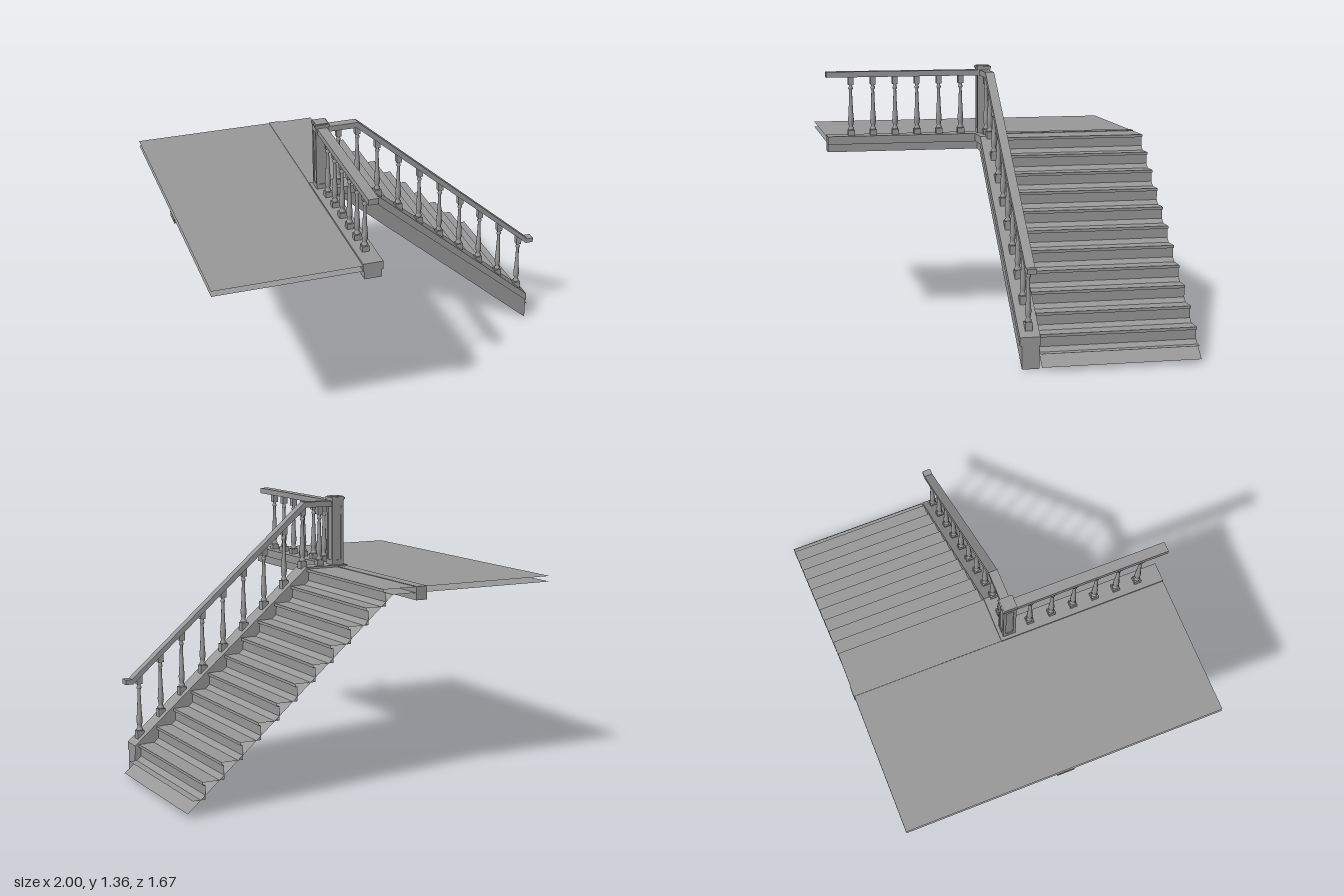
import * as THREE from 'three';

const color = 0x999999;
const mat = new THREE.MeshStandardMaterial({ color });
const sheetMat = new THREE.MeshStandardMaterial({ color, side: THREE.DoubleSide, flatShading: true });

function add(parent, name, geometry, material = mat) {
  const mesh = new THREE.Mesh(geometry, material);
  mesh.name = name;
  parent.add(mesh);
  return mesh;
}

// Box given by its two extreme corners
function box(parent, name, x0, x1, y0, y1, z0, z1) {
  const mesh = add(parent, name, new THREE.BoxGeometry(x1 - x0, y1 - y0, z1 - z0));
  mesh.position.set((x0 + x1) / 2, (y0 + y1) / 2, (z0 + z1) / 2);
  return mesh;
}

// Side outline in x and y, extruded from z0 to z1
function slab(parent, name, points, z0, z1) {
  const shape = new THREE.Shape(points.map(([x, y]) => new THREE.Vector2(x, y)));
  const geometry = new THREE.ExtrudeGeometry(shape, { depth: z1 - z0, bevelEnabled: false });
  add(parent, name, geometry.translate(0, 0, z0));
}

// Open folded sheet following a path in x and y, from z0 to z1
function sheet(parent, name, path, z0, z1) {
  const positions = [];
  for (let i = 0; i + 1 < path.length; i++) {
    const [a, b] = path[i], [c, d] = path[i + 1];
    positions.push(a, b, z0, a, b, z1, c, d, z1, a, b, z0, c, d, z1, c, d, z0);
  }
  const geometry = new THREE.BufferGeometry();
  geometry.setAttribute('position', new THREE.Float32BufferAttribute(positions, 3));
  geometry.computeVertexNormals();
  add(parent, name, geometry, sheetMat);
}

// Turned baluster, square at both ends; skirt sinks the foot and head into sloping parts
const turned = new THREE.LatheGeometry([
  [0.012, 0.025], [0.016, 0.032], [0.016, 0.038], [0.010, 0.044], [0.012, 0.055],
  [0.0155, 0.075], [0.0145, 0.095], [0.012, 0.125], [0.009, 0.19], [0.0075, 0.24],
  [0.012, 0.245], [0.012, 0.252], [0.008, 0.257], [0.010, 0.275],
].map(([r, y]) => new THREE.Vector2(r, y)), 12);

function baluster(parent, x, y, z, skirt) {
  const group = new THREE.Group();
  group.name = 'baluster';
  add(group, 'balusterShaft', turned);
  box(group, 'balusterFoot', -0.018, 0.018, -skirt, 0.028, -0.018, 0.018);
  box(group, 'balusterHead', -0.014, 0.014, 0.267, 0.307 + skirt * 0.6, -0.014, 0.014);
  group.position.set(x, y, z);
  parent.add(group);
}

export function createModel() {
  const model = new THREE.Group();
  model.name = 'staircaseWithLanding';
  const back = -0.832, front = 0.833, post = -0.222;

  // Landing floor and ceiling sheets
  sheet(model, 'landingFloor', [[-1, 0.985], [-0.22, 0.985]], -0.05, front);
  sheet(model, 'landingCeiling', [[-1, 0.957], [-0.22, 0.957]], -0.05, front);

  // Treads with nosings and risers, running on from the landing floor
  const steps = [[-1, 0.985]];
  for (let k = 0; k < 11; k++) {
    const x = -0.03 + 0.0952 * k, y = 0.985 - 0.0825 * k;
    steps.push([x, y], [x, y - 0.014], [x - 0.012, y - 0.014], [x - 0.012, y - 0.0825]);
  }
  steps.push([0.973, 0.078]);
  sheet(model, 'treadsAndRisers', steps, back, -0.045);

  // Sloping soffit below the flight, running on from the landing ceiling
  sheet(model, 'soffit', [[-1, 0.957], [-0.08, 0.957], [1, 0.02]], back, -0.045);

  // Beams under the landing
  box(model, 'landingBeam', -1, -0.26, 0.93, 0.955, -0.045, 0.045);
  box(model, 'trimmerBeam', -0.27, -0.21, 0.92, 0.988, -0.835, -0.04);

  // Stair stringer with its wider cap
  slab(model, 'stringer', [[0.943, 0], [0.943, 0.115], [-0.04, 0.955], [-0.2, 0.955], [-0.2, 0.913], [-0.105, 0.913]], -0.045, 0.04);
  slab(model, 'stringerCap', [[0.943, 0.113], [0.943, 0.155], [-0.03, 0.995], [-0.2, 0.995], [-0.2, 0.953], [-0.04, 0.953]], -0.05, 0.05);

  // Landing edge beam with its wider cap
  box(model, 'landingEdgeBeam', -0.265, -0.18, 0.913, 0.953, -0.045, front);
  box(model, 'landingEdgeCap', -0.272, -0.172, 0.953, 0.995, -0.05, front);

  // Newel post: core, corner stiles, bands and stepped cap
  const newel = new THREE.Group();
  newel.name = 'newelPost';
  newel.position.x = post;
  model.add(newel);
  box(newel, 'newelCore', -0.028, 0.028, 0.99, 1.34, -0.028, 0.028);
  for (const sx of [-1, 1]) for (const sz of [-1, 1]) {
    const stile = box(newel, 'newelStile', -0.007, 0.007, 0.99, 1.335, -0.007, 0.007);
    stile.position.x = sx * 0.026;
    stile.position.z = sz * 0.026;
  }
  for (const [y0, y1, r] of [[0.99, 1.02, 0.033], [1.305, 1.335, 0.033], [1.332, 1.34, 0.035], [1.34, 1.35, 0.038], [1.35, 1.355, 0.032]]) {
    box(newel, 'newelBand', -r, r, y0, y1, -r, r);
  }

  // Handrails
  slab(model, 'stairHandrail', [
    [post, 1.331], [-0.03, 1.331], [0.942, 0.49], [0.976, 0.49], [0.976, 0.465],
    [0.935, 0.465], [-0.038, 1.302], [post, 1.302],
  ], -0.023, 0.023);
  box(model, 'landingHandrail', post - 0.026, post + 0.026, 1.302, 1.331, 0, 0.835);

  // Balusters on the landing and down the flight
  for (let i = 0; i < 6; i++) baluster(model, post, 0.995, 0.121 + 0.117 * i, 0);
  baluster(model, -0.128, 0.995, 0, 0);
  baluster(model, -0.028, 0.993, 0, 0.01);
  for (let i = 0; i < 8; i++) {
    const x = 0.08 + 0.1168 * i;
    baluster(model, x, 0.995 - 0.8655 * (x + 0.03), 0, 0.02);
  }
  return model;
}
